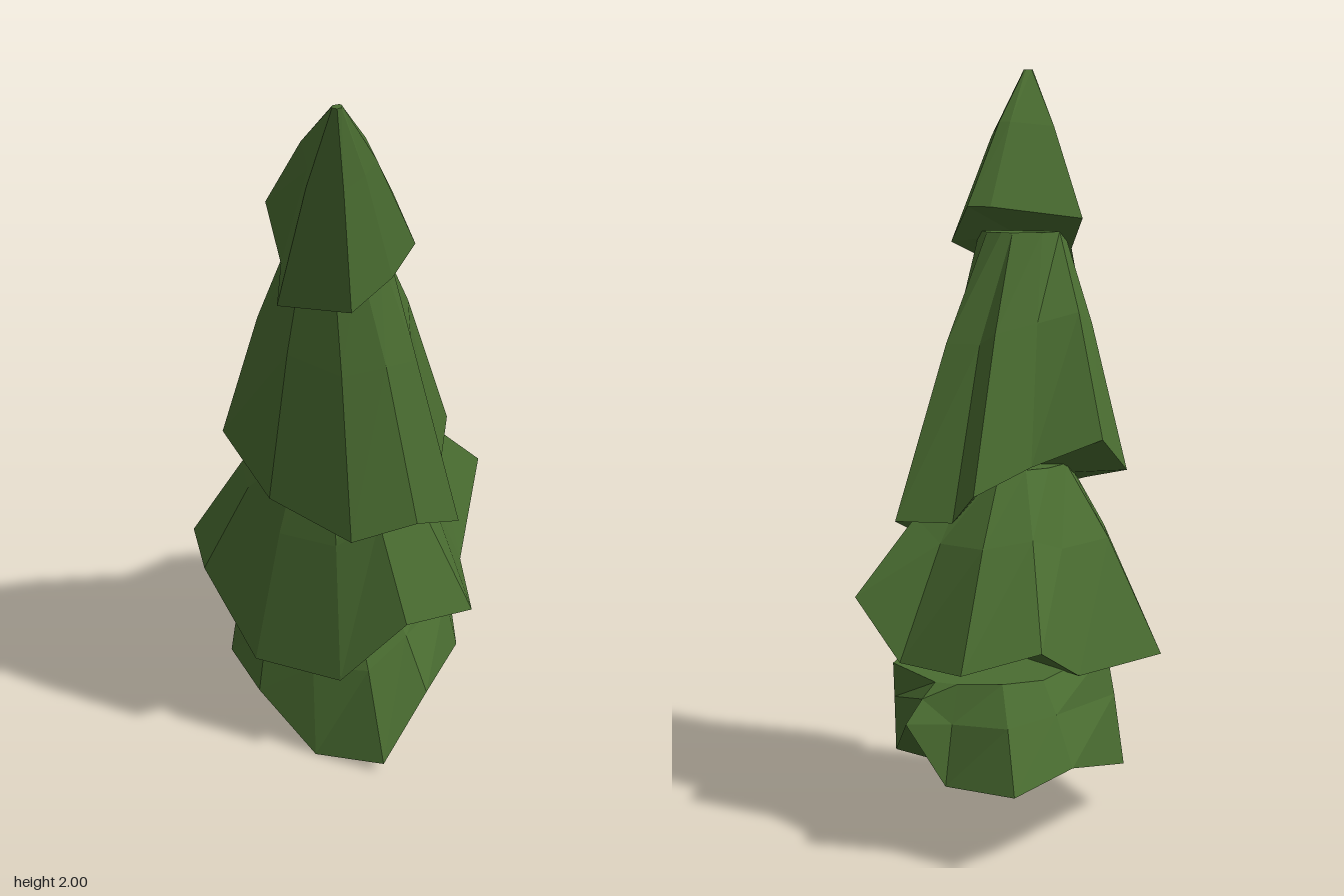
import * as THREE from 'three';

// One tier of boughs: a jagged rim (listed left, front, right, back) lofted up
// to an elliptical neck, with the underside folding in to a point at underY.
function tierGeometry(rim, neck, rx, rz, underY) {
  const mean = (k) => rim.reduce((sum, p) => sum + p[k], 0) / rim.length;
  const under = [mean(0), underY, mean(2)];

  // Neck vertices lie in the same direction as the rim vertices below them
  const top = rim.map(([x, , z]) => {
    const a = Math.atan2(z - under[2], x - under[0]);
    return [neck[0] + rx * Math.cos(a), neck[1], neck[2] + rz * Math.sin(a)];
  });
  // The middle ring rises faster than it narrows, so the boughs bulge slightly
  const mid = rim.map((p, i) => p.map((v, k) => v + (top[i][k] - v) * (k === 1 ? 0.61 : 0.55)));

  const pos = [];
  const tri = (a, b, c) => pos.push(...a, ...b, ...c);
  rim.forEach((p, i) => {
    const j = (i + 1) % rim.length;
    for (const [lo, hi] of [[rim, mid], [mid, top]]) {
      tri(lo[i], lo[j], hi[j]);
      tri(lo[i], hi[j], hi[i]);
    }
    tri(top[i], top[j], neck);
    tri(rim[j], p, under);
  });
  const g = new THREE.BufferGeometry();
  g.setAttribute('position', new THREE.Float32BufferAttribute(pos, 3));
  g.computeVertexNormals();
  return g;
}

export function createModel() {
  const group = new THREE.Group();
  group.name = 'leaningTreeFoliage';
  const green = new THREE.MeshStandardMaterial({ color: 0x4a6d31, flatShading: true });
  green.name = 'leafGreen';
  const addTier = (name, rim, neck, rx, rz, underY) => {
    const mesh = new THREE.Mesh(tierGeometry(rim, neck, rx, rz, underY), green);
    mesh.name = name;
    group.add(mesh);
  };

  // Broad skirt the tree stands on
  addTier('bottomFoliage', [
    [-0.28, 0.12, 0.19], [-0.11, 0.15, 0.35], [0.07, 0, 0.37], [0.27, 0.03, 0.36], [0.33, 0.19, 0.21],
    [0.32, 0.18, -0.03], [0.2, 0.19, -0.21], [0, 0.35, -0.465], [-0.09, 0.19, -0.42], [-0.305, 0.2, -0.44],
    [-0.37, 0.24, -0.26],
  ], [-0.02, 0.44, -0.03], 0.27, 0.33, 0.1);

  // Widest tier, with pointed boughs to both sides
  addTier('lowerFoliage', [
    [-0.42, 0.46, 0.13], [-0.29, 0.485, 0.31], [-0.1, 0.29, 0.385], [0.15, 0.295, 0.38], [0.31, 0.485, 0.31],
    [0.415, 0.43, 0.11], [0.3, 0.43, -0.09], [0.26, 0.62, -0.31], [0.11, 0.465, -0.325], [-0.13, 0.48, -0.41],
    [-0.29, 0.53, -0.28], [-0.29, 0.43, -0.085],
  ], [0.03, 0.94, 0.13], 0.14, 0.16, 0.44);

  // Tall tier leaning forward
  addTier('upperFoliage', [
    [-0.24, 1.02, 0.13], [-0.24, 0.92, 0.27], [-0.03, 0.86, 0.42], [0.2, 0.79, 0.42], [0.33, 0.81, 0.3],
    [0.375, 0.72, 0.125], [0.265, 0.74, 0], [0.205, 0.81, -0.2], [0.06, 0.81, -0.145], [-0.02, 0.89, -0.17],
    [-0.09, 0.95, 0.01],
  ], [0.09, 1.56, 0.265], 0.115, 0.12, 0.9);

  // Cap running up to the tip
  addTier('treeTop', [
    [-0.12, 1.6, 0.23], [-0.02, 1.51, 0.35], [0, 1.43, 0.415], [0.2, 1.46, 0.42], [0.24, 1.49, 0.27],
    [0.25, 1.53, 0.155], [0.17, 1.63, 0.11], [0.1, 1.63, 0.115],
  ], [0.175, 2, 0.445], 0.012, 0.014, 1.55);

  return group;
}
